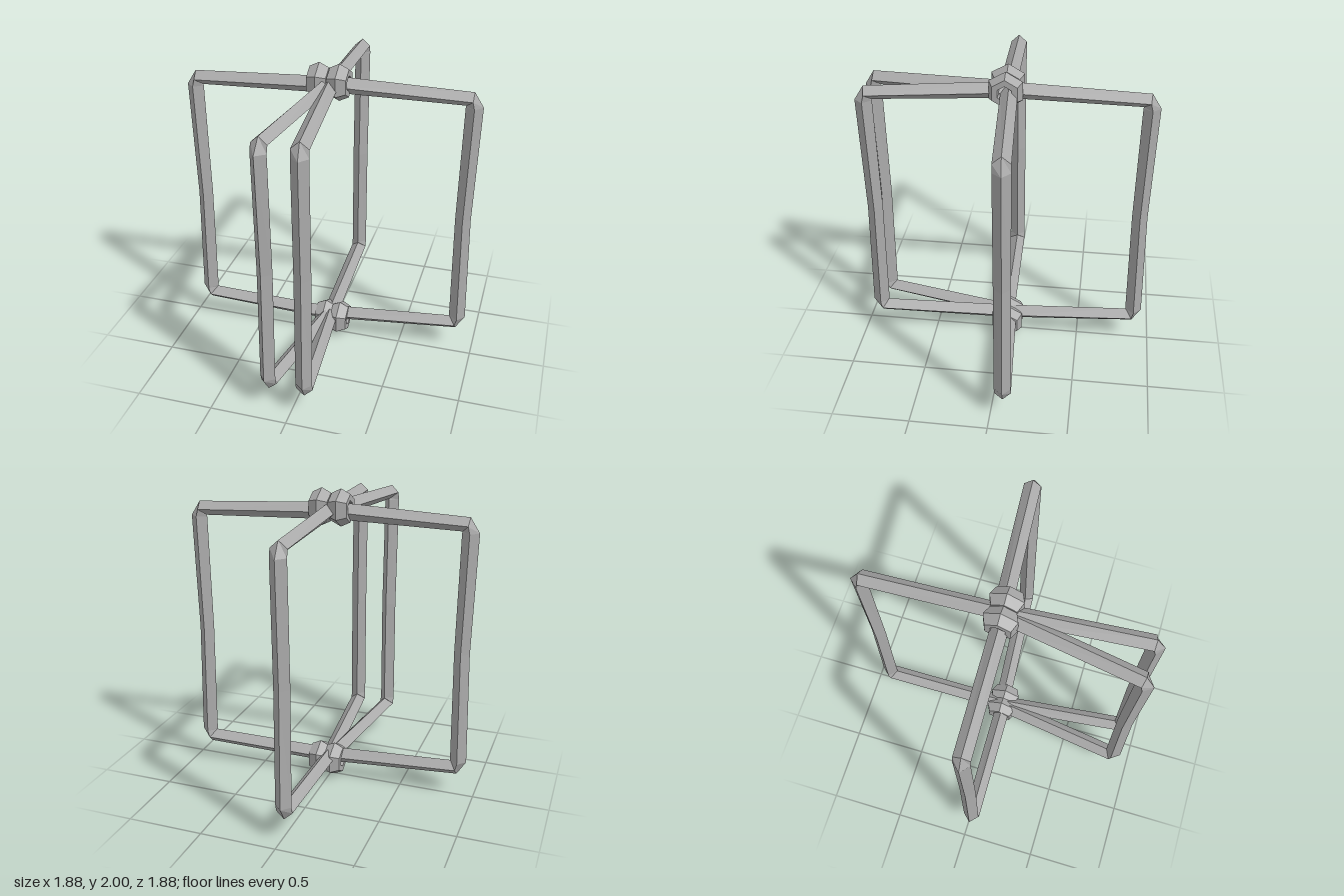
import * as THREE from 'three';

const grey = new THREE.MeshStandardMaterial({ color: 0xaaaaaa, flatShading: true });
grey.name = 'plainGrey';

const HALF = 0.053; // half width of the diamond-section bar

// Stations along one frame: outer edge [r, y], side edges [r, y], inner edge [r, y]
const STATIONS = [
  [[0, 1.915], [0, 1.86], [0, 1.805]],
  [[0.88, 1.875], [0.875, 1.828], [0.835, 1.785]],
  [[0.94, 1.78], [0.887, 1.78], [0.832, 1.775]],
  [[0.922, 1.0], [0.872, 1.0], [0.822, 1.0]],
  [[0.94, 0.235], [0.887, 0.235], [0.832, 0.24]],
  [[0.88, 0.14], [0.875, 0.188], [0.835, 0.235]],
  [[0, 0.09], [0, 0.145], [0, 0.2]],
];

// Bar that runs out from the upper hub, down, and back to the lower hub
function makeFrame(start, tip) {
  const dir = new THREE.Vector2(tip[0] - start[0], tip[1] - start[1]);
  const scale = dir.length() / 0.94;
  dir.normalize();
  const place = ([r, y], side) => [
    start[0] + dir.x * r * scale - dir.y * side, y,
    start[1] + dir.y * r * scale + dir.x * side,
  ];
  const rings = STATIONS.map(([outer, mid, inner]) => [
    place(outer, 0), place(mid, HALF), place(inner, 0), place(mid, -HALF),
  ]);
  const pos = [];
  for (let i = 0; i < rings.length - 1; i++) {
    for (let k = 0; k < 4; k++) {
      const n = (k + 1) % 4;
      const a = rings[i][k], b = rings[i][n], c = rings[i + 1][n], d = rings[i + 1][k];
      pos.push(...a, ...b, ...d, ...b, ...c, ...d);
    }
  }
  const geo = new THREE.BufferGeometry();
  geo.setAttribute('position', new THREE.Float32BufferAttribute(pos, 3));
  geo.computeVertexNormals();
  return new THREE.Mesh(geo, grey);
}

// Six-sided bevelled ring whose axis lies along x
function makeHubRing(x, y, z) {
  const profile = [
    [0.05, -0.061], [0.09, -0.061], [0.12, 0], [0.09, 0.061], [0.05, 0.061], [0.05, -0.061],
  ].map(([r, h]) => new THREE.Vector2(r, h));
  const geo = new THREE.LatheGeometry(profile, 6, Math.PI / 2);
  geo.rotateZ(Math.PI / 2);
  const mesh = new THREE.Mesh(geo, grey);
  mesh.position.set(x, y, z);
  return mesh;
}

export function createModel() {
  const model = new THREE.Group();
  model.name = 'wireCage';

  // Five frames fanned about the vertical axis: start and tip as [x, z]
  const frames = {
    backFrame: [[0.005, 0], [-0.013, -0.94]],
    leftFrame: [[0, -0.015], [0.938, -0.085]],
    rightFrame: [[0, 0], [-0.94, 0.025]],
    frontRightFrame: [[-0.012, 0], [-0.16, 0.93]],
    frontLeftFrame: [[0.005, 0], [0.09, 0.937]],
  };
  for (const [name, [start, tip]] of Object.entries(frames)) {
    const frame = makeFrame(start, tip);
    frame.name = name;
    model.add(frame);
  }

  // Paired rings where the frames meet
  const hubs = { upperHub: [[-0.067, 0.06], 1.88, 0], lowerHub: [[-0.03, 0.07], 0.12, -0.01] };
  for (const [name, [xs, y, z]] of Object.entries(hubs)) {
    const hub = new THREE.Group();
    hub.name = name;
    xs.forEach((x, i) => {
      const ring = makeHubRing(x, y, z);
      ring.name = i ? 'leftHubRing' : 'rightHubRing';
      hub.add(ring);
    });
    model.add(hub);
  }
  return model;
}
